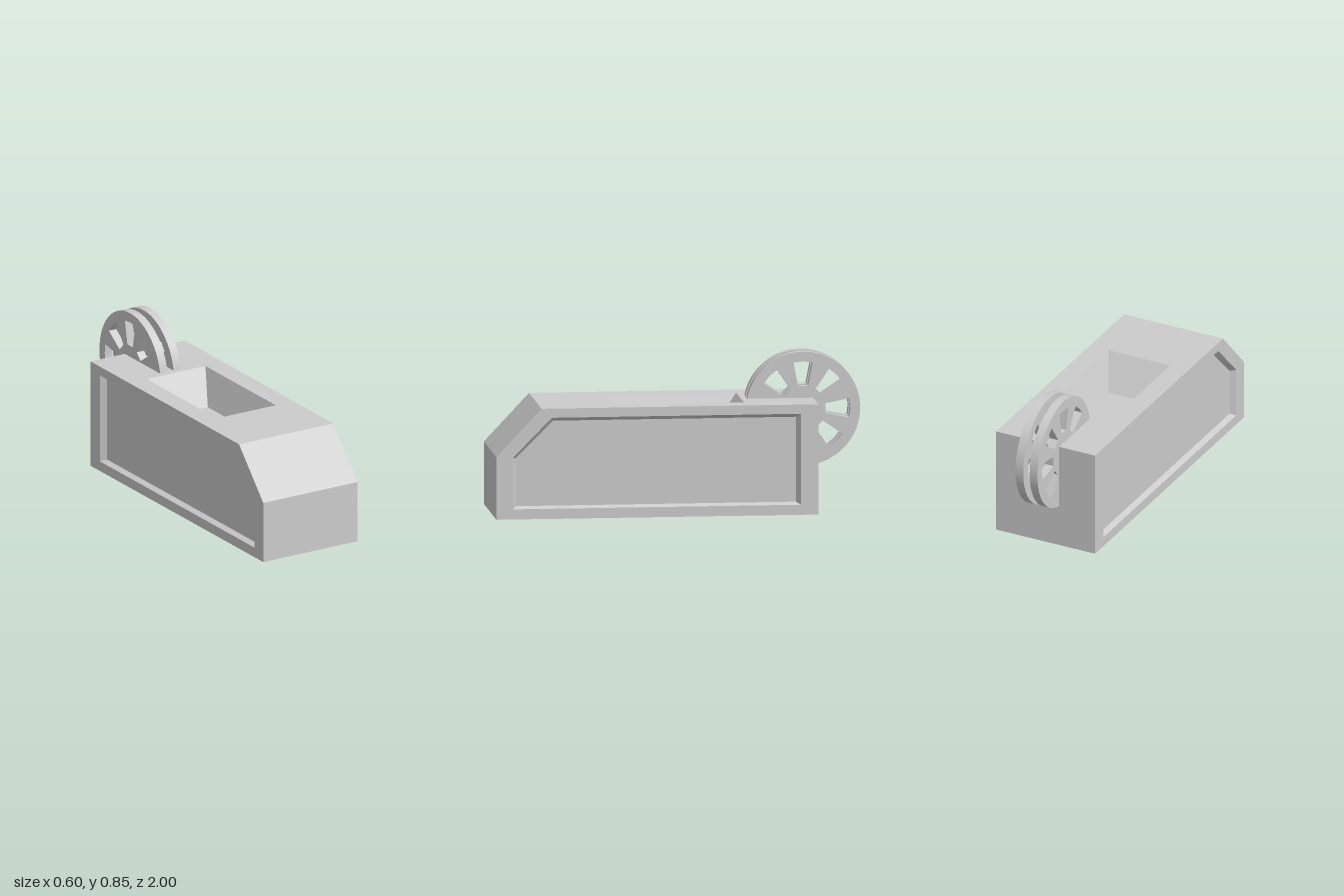
import * as THREE from 'three';
import { mergeGeometries, toCreasedNormals } from 'three/addons/utils/BufferGeometryUtils.js';

const grey = new THREE.MeshStandardMaterial({ color: 0xcccccc });
const HALF = 0.3, TOP = 0.6;

// Flat-shaded strip of quads joining two matching loops; skip leaves one edge open
function band(a, b, skip = -1) {
  const pos = [];
  a.forEach((p, i) => {
    if (i === skip) return;
    const j = (i + 1) % a.length;
    for (const q of [p, a[j], b[j], p, b[j], b[i]]) pos.push(...q);
  });
  const g = new THREE.BufferGeometry();
  g.setAttribute('position', new THREE.Float32BufferAttribute(pos, 3));
  g.computeVertexNormals();
  return g;
}

const vecs = (pts) => pts.map(([x, y]) => new THREE.Vector2(x, y));

// Flat face in the XY plane, optionally with a hole
function face(outline, hole) {
  const s = new THREE.Shape(vecs(outline));
  if (hole) s.holes.push(new THREE.Path(vecs(hole)));
  const g = new THREE.ShapeGeometry(s).toNonIndexed();
  g.deleteAttribute('uv');
  return g;
}

function addMesh(parent, name, geometry) {
  const m = new THREE.Mesh(geometry, grey);
  m.name = name;
  parent.add(m);
  return m;
}

// Body outlines as [z, y]
const profile = [[1, 0], [1, 0.34], [0.755, TOP], [-0.745, TOP], [-0.745, 0]];
const panelRim = [[0.91, 0.055], [0.91, 0.335], [0.7, 0.55], [-0.65, 0.55], [-0.65, 0.055]];
const panelFloor = [[0.893, 0.068], [0.893, 0.328], [0.69, 0.53], [-0.627, 0.53], [-0.627, 0.068]];

// Side wall with a sunken panel; s = 1 for left, -1 for right
function sideWall(s) {
  const flat = (pts) => pts.map(([z, y]) => [-s * z, y]);
  const loop = (pts, x) => {
    const l = pts.map(([z, y]) => [s * x, y, z]);
    return s > 0 ? l.reverse() : l;
  };
  const place = (g, x) => g.rotateY(s * Math.PI / 2).translate(s * x, 0, 0);
  return mergeGeometries([
    place(face(flat(profile), flat(panelRim)), HALF),
    band(loop(panelRim, HALF), loop(panelFloor, HALF - 0.03)),
    place(face(flat(panelFloor)), HALF - 0.03),
  ]);
}

// Top deck with a tapered tray sunk into it
function topDeck() {
  const rect = (x0, x1, z0, z1) => [[x0, z1], [x1, z1], [x1, z0], [x0, z0]];
  const flat = (pts) => pts.map(([x, z]) => [x, -z]);
  const loop = (pts, y) => pts.map(([x, z]) => [x, y, z]);
  const place = (g, y) => g.rotateX(-Math.PI / 2).translate(0, y, 0);
  const deck = rect(-HALF, HALF, -0.745, 0.755);
  const rim = rect(-0.188, 0.186, -0.355, 0.355);
  const floor = rect(-0.118, 0.116, -0.22, 0.22);
  return mergeGeometries([
    place(face(flat(deck), flat(rim)), TOP),
    band(loop(rim, TOP), loop(floor, 0.42)),
    place(face(flat(floor)), 0.42),
  ]);
}

// Disc with eight tapered slots between its spokes
function wheelGeometry(radius, width) {
  const s = new THREE.Shape();
  s.absarc(0, 0, radius, 0, Math.PI * 2, false);
  for (let i = 0; i < 8; i++) {
    const a = i * Math.PI / 4;
    const slot = vecs([[0.122, -0.027], [0.25, -0.052], [0.256, 0], [0.25, 0.052], [0.122, 0.027]]);
    slot.forEach((p) => p.rotateAround(new THREE.Vector2(), a));
    s.holes.push(new THREE.Path(slot));
  }
  const g = new THREE.ExtrudeGeometry(s, { depth: width, bevelEnabled: false, curveSegments: 64 });
  return toCreasedNormals(g.rotateY(Math.PI / 2), 0.5);
}

export function createModel() {
  const model = new THREE.Group();
  model.name = 'model';

  const body = new THREE.Group();
  body.name = 'body';
  model.add(body);
  const at = (x) => profile.map(([z, y]) => [x, y, z]);
  addMesh(body, 'shell', band(at(HALF), at(-HALF), 2));
  addMesh(body, 'topDeck', topDeck());
  addMesh(body, 'leftWall', sideWall(1));
  addMesh(body, 'rightWall', sideWall(-1));

  // Twin wheels half sunk into the rear of the body
  const wheels = new THREE.Group();
  wheels.name = 'wheels';
  wheels.position.set(0, 0.542, -0.691);
  model.add(wheels);
  const disc = wheelGeometry(0.309, 0.047);
  [['rightWheel', -0.082], ['leftWheel', 0.004]].forEach(([name, x]) => {
    addMesh(wheels, name, disc).position.x = x;
  });

  return model;
}
